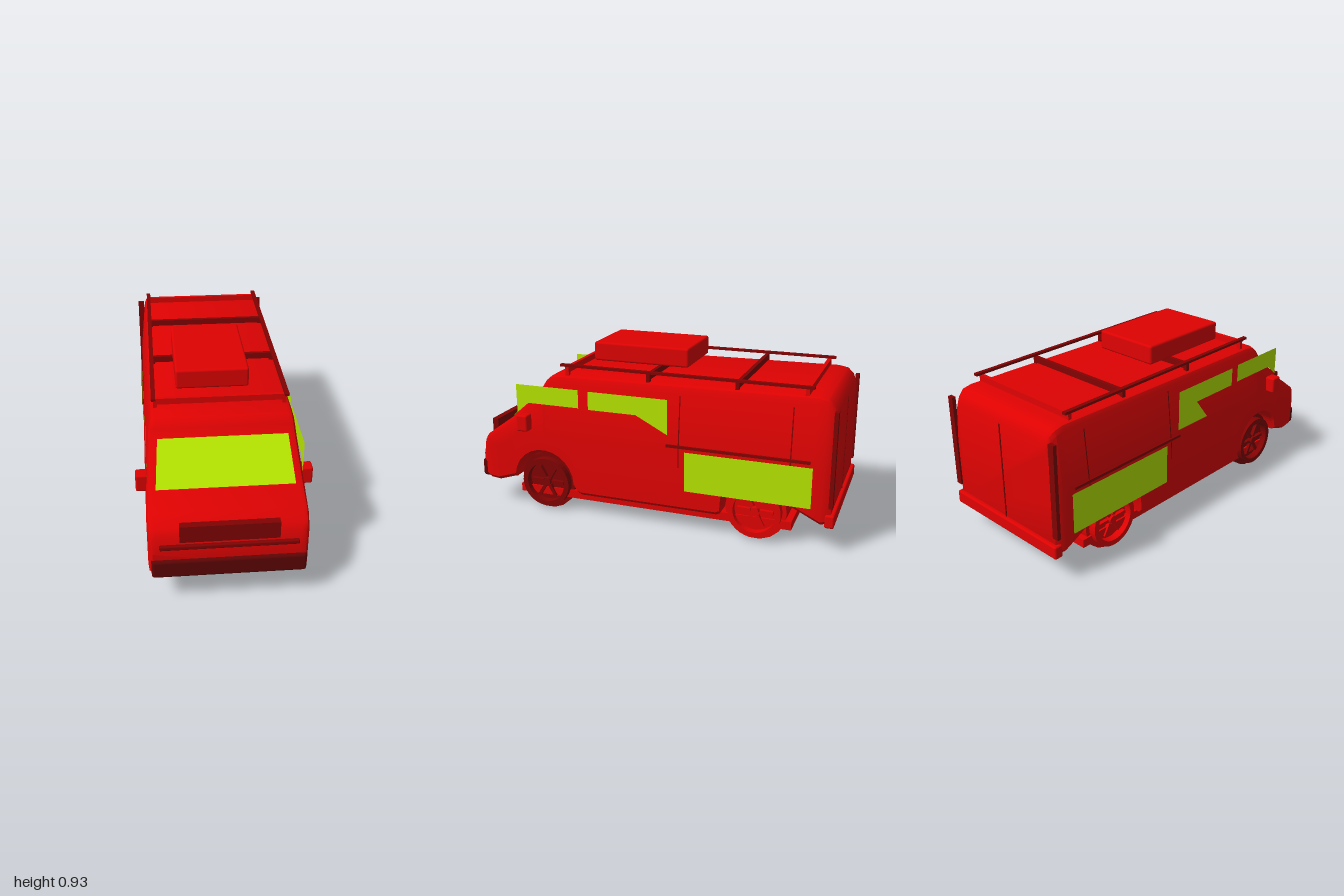
import * as THREE from 'three';
import { toCreasedNormals } from 'three/addons/utils/BufferGeometryUtils.js';
import { RoundedBoxGeometry } from 'three/addons/geometries/RoundedBoxGeometry.js';

const red = new THREE.MeshStandardMaterial({ color: 0xe00202 });
red.name = 'paint red';
const dark = new THREE.MeshStandardMaterial({ color: 0x820202, side: THREE.DoubleSide });
dark.name = 'trim dark red';
const maroon = new THREE.MeshStandardMaterial({ color: 0x600404 });
maroon.name = 'bumper maroon';
const green = new THREE.MeshStandardMaterial({ color: 0xb7e700, side: THREE.DoubleSide });
green.name = 'glass green';

// Half width of the body: upright below the belt line, leaning inwards above it
const halfWidth = (y) => 0.385 - 0.1 * Math.max(0, y - 0.45);

function add(parent, name, geometry, material, x = 0, y = 0, z = 0) {
  const mesh = new THREE.Mesh(geometry, material);
  mesh.name = name;
  mesh.position.set(x, y, z);
  parent.add(mesh);
}

// Box given by its limits, optionally with rounded edges
function block(parent, name, material, [x0, x1], [y0, y1], [z0, z1], radius = 0) {
  const size = [x1 - x0, y1 - y0, z1 - z0];
  const geometry = radius ? new RoundedBoxGeometry(...size, 2, radius) : new THREE.BoxGeometry(...size);
  add(parent, name, geometry, material, (x0 + x1) / 2, (y0 + y1) / 2, (z0 + z1) / 2);
}

// Wheel arch as lower-edge points, running from front to back
function arch(cz, cy, r, from, to) {
  const points = [];
  for (let i = 0; i <= 12; i++) {
    const a = from + (to - from) * i / 12;
    points.push([cz + r * Math.cos(a), cy + r * Math.sin(a)]);
  }
  return points;
}

// Height on a polyline of [z, y] points sorted from front to back
function heightAt(line, z) {
  for (let i = 0; i < line.length - 1; i++) {
    const [za, ya] = line[i], [zb, yb] = line[i + 1];
    if (z <= za && z >= zb) return za === zb ? ya : ya + (yb - ya) * (za - z) / (za - zb);
  }
  return z > line[0][0] ? line[0][1] : line[line.length - 1][1];
}

// Body shell lofted through cross-sections along z
function bodyGeometry() {
  const roof = [[0.985, 0.30], [0.97, 0.38], [0.95, 0.41], [0.79, 0.525], [0.605, 0.71], [0.58, 0.75],
    [0.55, 0.775], [0.50, 0.783], [-0.88, 0.80], [-0.93, 0.79], [-0.96, 0.765], [-0.978, 0.72]];
  const sill = [[0.985, 0.18], [0.97, 0.155], [0.95, 0.148], [0.89, 0.145], [0.78, 0.18],
    ...arch(0.6, 0.16, 0.18, 0.1, Math.PI), [0.40, 0.13], [0.38, 0.12], [-0.39, 0.12], [-0.41, 0.13],
    ...arch(-0.59, 0.16, 0.18, 0, Math.PI - 0.42), [-0.93, 0.148], [-0.96, 0.155], [-0.978, 0.19]];
  const stations = [...new Set([...roof, ...sill].map((p) => p[0]))].sort((a, b) => b - a);
  const positions = [], index = [], n = 12;
  for (const z of stations) {
    const top = heightAt(roof, z), low = heightAt(sill, z);
    const end = Math.max(0, Math.abs(z) - 0.94);
    const w = (y) => halfWidth(y) - end * 0.5;
    const belt = Math.min(0.45, (low + top) / 2 + 0.05);
    const half = [[w(low) - 0.02, low], [w(low), low + 0.02], [w(belt), belt],
      [w(top - 0.03), top - 0.03], [w(top) - 0.008, top - 0.008], [w(top) - 0.028, top]];
    for (const [x, y] of half) positions.push(x, y, z);
    for (const [x, y] of [...half].reverse()) positions.push(-x, y, z);
  }
  const last = (stations.length - 1) * n;
  for (let i = 0; i < last; i += n) {
    for (let j = 0; j < n; j++) {
      const a = i + j, b = i + (j + 1) % n;
      index.push(a, a + n, b, a + n, b + n, b);
    }
  }
  for (let j = 1; j < n - 1; j++) {
    index.push(0, j, j + 1, last, last + j + 1, last + j);
  }
  const geometry = new THREE.BufferGeometry();
  geometry.setAttribute('position', new THREE.Float32BufferAttribute(positions, 3));
  geometry.setIndex(index);
  return toCreasedNormals(geometry, 0.6);
}

// Thin face on the body side, outlined by [z, y] points; xAt gives its distance from the middle
function sidePane(parent, name, material, outline, side, xAt) {
  const geometry = new THREE.ShapeGeometry(new THREE.Shape(outline.map((p) => new THREE.Vector2(...p))));
  const pos = geometry.attributes.position;
  for (let i = 0; i < pos.count; i++) {
    const z = pos.getX(i), y = pos.getY(i);
    pos.setXYZ(i, side * xAt(y), y, z);
  }
  geometry.computeVertexNormals();
  add(parent, name, geometry, material);
}

// Full-width roller with a spoked rim at each end
function axle(parent, name, material, z) {
  const group = new THREE.Group();
  group.name = name;
  group.position.set(0, 0.163, z);
  parent.add(group);
  add(group, 'tyre', new THREE.CylinderGeometry(0.163, 0.163, 0.66, 18).rotateZ(Math.PI / 2), material);
  const ring = new THREE.Shape().absarc(0, 0, 0.14, 0, Math.PI * 2);
  ring.holes.push(new THREE.Path().absarc(0, 0, 0.112, 0, Math.PI * 2));
  const rim = new THREE.ExtrudeGeometry(ring, { depth: 0.04, bevelEnabled: false, curveSegments: 20 })
    .rotateY(Math.PI / 2);
  const hub = new THREE.CylinderGeometry(0.022, 0.022, 0.03, 12).rotateZ(Math.PI / 2);
  for (const s of [-1, 1]) {
    add(group, 'rim', rim, material, s > 0 ? 0.33 : -0.37);
    add(group, 'hub', hub, material, s * 0.345);
    for (let i = 0; i < 6; i++) {
      const spoke = new THREE.BoxGeometry(0.02, 0.07, 0.018).translate(0, 0.06, 0).rotateX(i * Math.PI / 3 + 0.5);
      add(group, 'spoke', spoke, material, s * 0.34);
    }
  }
}

export function createModel() {
  const model = new THREE.Group();
  model.name = 'van';
  add(model, 'body', bodyGeometry(), red);

  // Chassis and wheels
  block(model, 'chassis', red, [-0.34, 0.34], [0.08, 0.125], [-0.78, 0.77]);
  axle(model, 'frontWheels', dark, 0.6);
  axle(model, 'rearWheels', red, -0.59);

  // Front and rear fittings
  block(model, 'frontBumper', maroon, [-0.37, 0.37], [0.155, 0.255], [0.93, 1], 0.015);
  block(model, 'grille', dark, [-0.235, 0.235], [0.365, 0.455], [0.965, 1]);
  block(model, 'frontTrim', dark, [-0.33, 0.33], [0.315, 0.338], [0.96, 0.995], 0.006);
  block(model, 'rearBumper', red, [-0.385, 0.385], [0.14, 0.21], [-0.998, -0.95], 0.01);
  block(model, 'rearDoorSeam', dark, [-0.003, 0.003], [0.21, 0.72], [-0.982, -0.97]);

  // Windscreen plate
  const screen = new THREE.BufferGeometry();
  screen.setAttribute('position', new THREE.Float32BufferAttribute([
    -0.335, 0.525, 0.80, 0.335, 0.525, 0.80, 0.318, 0.70, 0.625, -0.318, 0.70, 0.625], 3));
  screen.setIndex([0, 1, 2, 0, 2, 3]);
  screen.computeVertexNormals();
  add(model, 'windscreen', screen, green);

  // Paired side parts
  const onSurface = (y) => halfWidth(y) + 0.002;
  for (const s of [-1, 1]) {
    const span = (a, b) => (s > 0 ? [a, b] : [-b, -a]);
    const tail = s > 0 ? [[-0.125, 0.53], [0.05, 0.62]] : [[-0.125, 0.505], [0.11, 0.505], [0.02, 0.62]];
    sidePane(model, 'cabWindow', green,
      [[0.75, 0.56], [0.75, 0.72], [0.38, 0.72], [0.38, 0.62], [0.68, 0.62]], s, () => 0.374);
    sidePane(model, 'sideWindow', green,
      [[0.32, 0.62], [0.32, 0.72], [-0.125, 0.72], ...tail], s, () => 0.382);
    sidePane(model, 'sidePanel', green,
      [[-0.22, 0.235], [-0.22, 0.45], [-0.88, 0.45], [-0.88, 0.235]], s, () => 0.389);
    for (const [z, low] of [[-0.183, 0.36], [-0.765, 0.45]]) {
      sidePane(model, 'doorSeam', dark,
        [[z, low], [z - 0.006, low], [z - 0.006, 0.45], [z - 0.006, 0.74], [z, 0.74], [z, 0.45]], s, onSurface);
    }
    block(model, 'sideTrim', dark, span(0.37, 0.392), [0.468, 0.482], [-0.865, -0.12]);
    block(model, 'mirror', red, span(0.37, 0.43), [0.47, 0.562], [0.665, 0.73], 0.01);
    block(model, 'rearHandle', dark, span(0.36, 0.395), [0.25, 0.745], [-0.988, -0.968]);
    block(model, 'rackRail', dark, span(0.318, 0.34), [0.832, 0.845], [-0.86, 0.495]);
  }

  // Roof rack: red end bars, dark middle bars, short posts
  for (const [z, material] of [[0.46, red], [0.0, dark], [-0.475, dark], [-0.825, red]]) {
    block(model, 'rackBar', material, [-0.33, 0.33], [0.80, 0.832], [z - 0.01, z + 0.01]);
    for (const x of [-0.32, 0.32]) {
      block(model, 'rackPost', material, [x - 0.01, x + 0.01], [0.77, 0.80], [z - 0.01, z + 0.01]);
    }
  }
  block(model, 'roofBox', red, [-0.215, 0.153], [0.832, 0.935], [-0.16, 0.38], 0.012);
  return model;
}
